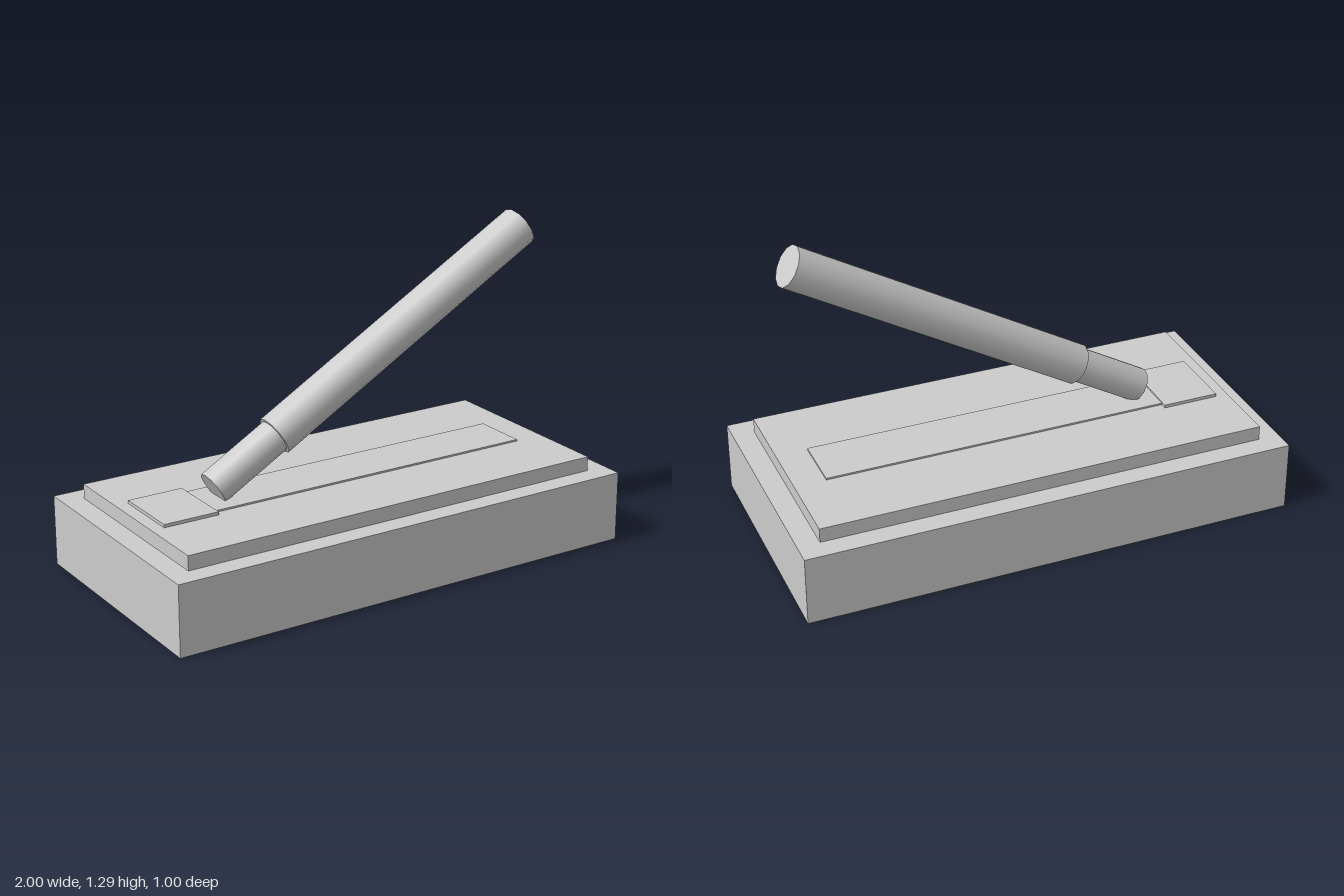
import * as THREE from 'three';

export function createModel() {
  const model = new THREE.Group();
  const grey = new THREE.MeshStandardMaterial({ color: 0xcccccc });
  grey.name = 'plain grey';

  // Box given by its x range, y range and full depth
  function slab(name, x0, x1, y0, y1, depth) {
    const mesh = new THREE.Mesh(new THREE.BoxGeometry(x1 - x0, y1 - y0, depth), grey);
    mesh.position.set((x0 + x1) / 2, (y0 + y1) / 2, 0);
    mesh.name = name;
    model.add(mesh);
  }

  // Stepped base with the slot plate and end plate on top
  slab('base', -1, 1, 0, 0.285, 1);
  slab('upperTier', -0.912, 0.912, 0.285, 0.344, 0.828);
  slab('slotPlate', -0.785, 0.785, 0.344, 0.351, 0.23);
  slab('endPlate', -0.86, -0.63, 0.344, 0.357, 0.285);

  // Lever leaning 30 degrees, built along its own y axis
  const lever = new THREE.Group();
  lever.name = 'lever';
  lever.position.set(-0.572, 0.39, 0);
  lever.rotation.z = -Math.PI / 3;
  model.add(lever);

  function rod(name, radius, from, to) {
    const mesh = new THREE.Mesh(new THREE.CylinderGeometry(radius, radius, to - from, 12), grey);
    mesh.position.y = (from + to) / 2;
    mesh.name = name;
    lever.add(mesh);
  }
  rod('leverStem', 0.07, 0, 0.4);
  rod('leverGrip', 0.083, 0.315, 1.647);

  return model;
}
